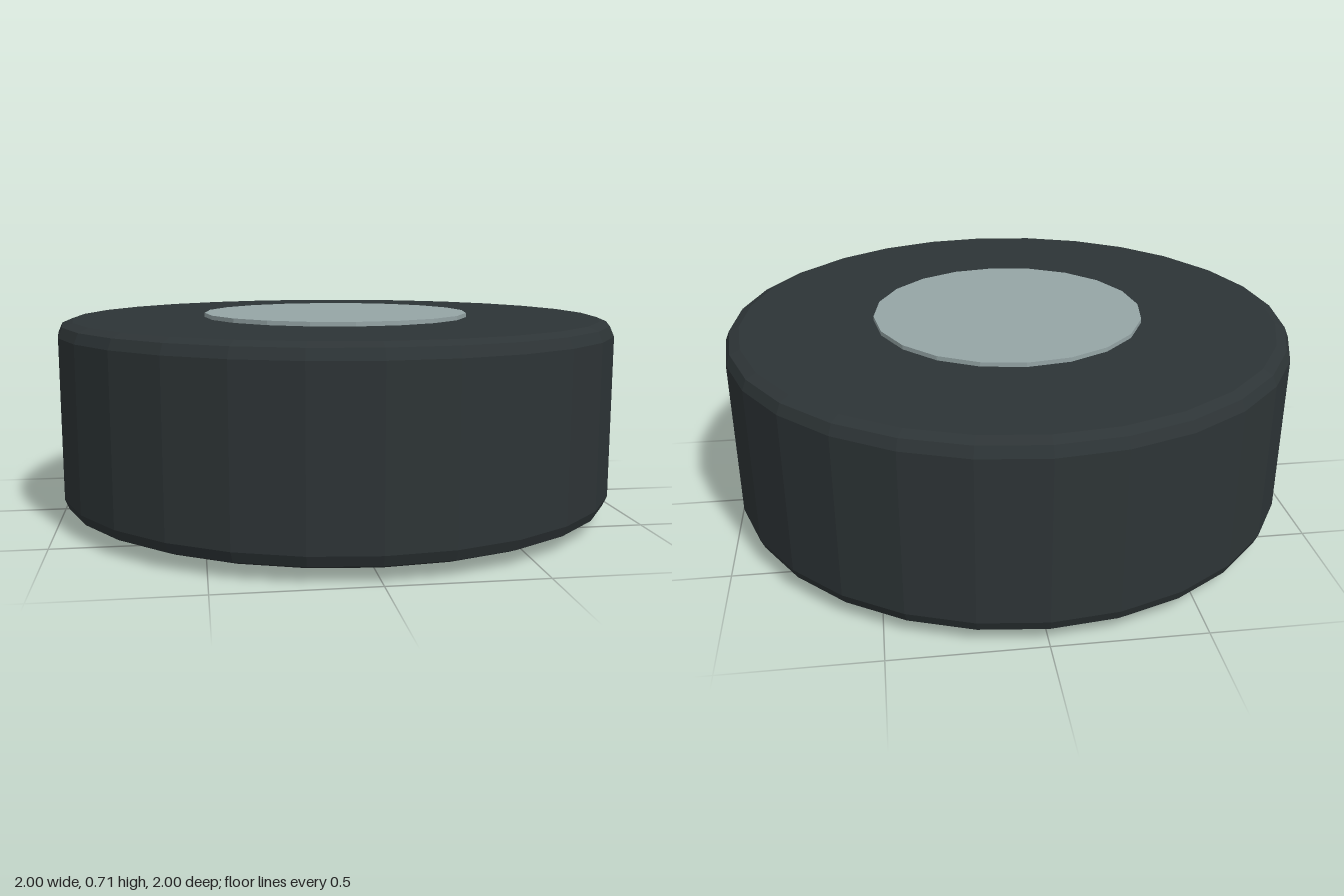
import * as THREE from 'three';

const material = (color) => new THREE.MeshStandardMaterial({ color, flatShading: true });

export function createModel() {
  const model = new THREE.Group();
  model.name = 'wheel';

  // Tyre: 28-sided drum with a two-step bevel on both rims
  const bottom = 0.04, top = 0.7;
  const rim = [[0, 0], [0.95, 0], [0.985, 0.015], [1, 0.05]];
  const profile = [
    ...rim.map(([r, d]) => new THREE.Vector2(r, bottom + d)),
    ...rim.map(([r, d]) => new THREE.Vector2(r, top - d)).reverse(),
  ];
  const tyre = new THREE.Mesh(new THREE.LatheGeometry(profile, 28), material(0x2d3436));
  tyre.name = 'tyre';
  model.add(tyre);

  // Hub: 20-sided core standing proud of both faces
  const hubHeight = 0.715;
  const hub = new THREE.Mesh(new THREE.CylinderGeometry(0.48, 0.48, hubHeight, 20), material(0x95a5a6));
  hub.name = 'hub';
  hub.position.y = hubHeight / 2;
  model.add(hub);

  return model;
}
